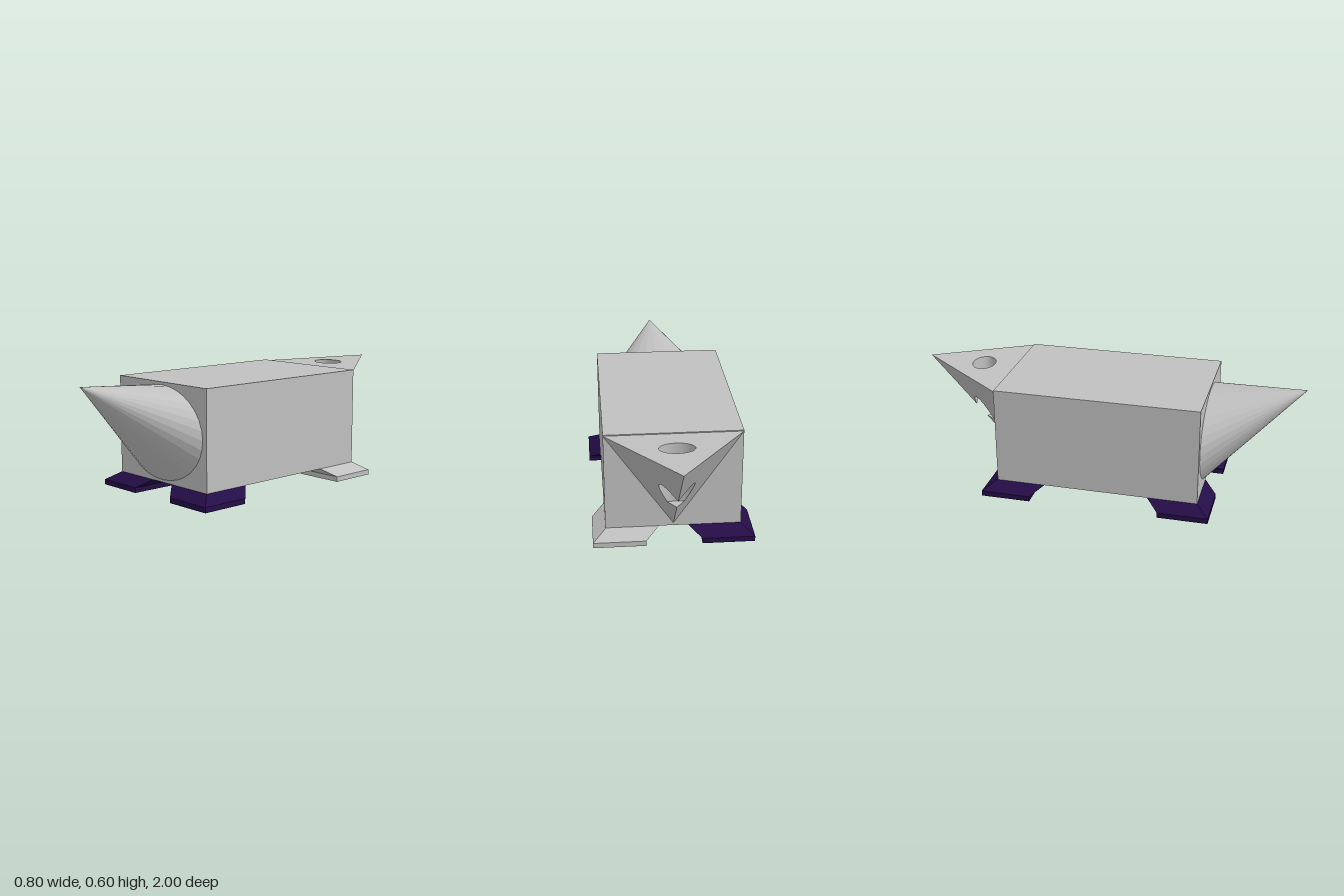
import * as THREE from 'three';

const grey = new THREE.MeshStandardMaterial({ color: 0xc0c0c0 });
const purple = new THREE.MeshStandardMaterial({ color: 0x240d47 });
grey.name = 'hull grey';
purple.name = 'deep purple';

const HALF = 0.335, BACK = -0.53, FRONT = 0.52, TIP = -1;
const HOLE = { z: -0.7, rx: 0.085, rz: 0.058, floor: 0.27 };
const SEG = 48;

// Heights of the tail's top plane and of its two keel planes
const topY = (x, z) => 0.57 + 0.053 * (BACK - z);
const keelY = (x, z) => 0.083 + 1.09 * (BACK - z) + 1.454 * Math.abs(x);
const rim = (a) => [HOLE.rx * Math.sin(a), HOLE.z + HOLE.rz * Math.cos(a)];

function add(group, name, geometry, material) {
  const flat = geometry.index ? geometry.toNonIndexed() : geometry;
  flat.computeVertexNormals();
  const mesh = new THREE.Mesh(flat, material);
  mesh.name = name;
  group.add(mesh);
}

// Flat outline in (x, z), lifted onto a plane given by a height rule
function panel(points, height, facesDown = false, hole = null) {
  const toVec = ([x, z]) => new THREE.Vector2(x, -z);
  const shape = new THREE.Shape(points.map(toVec));
  if (hole) shape.holes.push(new THREE.Path(hole.map(toVec)));
  const g = new THREE.ShapeGeometry(shape);
  const p = g.attributes.position;
  for (let i = 0; i < p.count; i++) {
    const x = p.getX(i), z = -p.getY(i);
    p.setXYZ(i, x, height(x, z), z);
  }
  if (facesDown) g.setIndex(Array.from(g.index.array).reverse());
  return g;
}

// Pointed nose: an oblique elliptical cone rising to the front
function noseGeometry() {
  const g = new THREE.ConeGeometry(1, 1, 32, 1, true).rotateX(Math.PI / 2);
  const p = g.attributes.position;
  for (let i = 0; i < p.count; i++) {
    const t = p.getZ(i) + 0.5;
    p.setXYZ(i, p.getX(i) * 0.307 + 0.005 * t, 0.322 + p.getY(i) * 0.239 + 0.273 * t, FRONT + 0.48 * t);
  }
  return g;
}

// Foot: square pad whose upper part leans in under the body
function footGeometry(sx, sz) {
  const g = new THREE.BoxGeometry(0.26, 2, 0.257, 1, 2, 1);
  const p = g.attributes.position;
  const heights = [0, 0.027, 0.07];
  for (let i = 0; i < p.count; i++) {
    const row = Math.round(p.getY(i)) + 1;
    const lean = row === 2 ? 0.065 : 0;
    const cz = sz > 0 ? 0.457 : -0.47;
    p.setXYZ(i, p.getX(i) + sx * (0.268 - lean), heights[row], p.getZ(i) + cz - sz * lean);
  }
  return g;
}

// Inner wall of the tail's hole, ending at its floor or at the keel planes
function holeWallGeometry() {
  const pos = [];
  const ring = (a) => {
    const [x, z] = rim(a);
    return [[x, topY(x, z), z], [x, Math.max(HOLE.floor, keelY(x, z)), z]];
  };
  for (let i = 0; i < SEG; i++) {
    const [t0, b0] = ring((i / SEG) * Math.PI * 2);
    const [t1, b1] = ring(((i + 1) / SEG) * Math.PI * 2);
    pos.push(...t0, ...t1, ...b0, ...t1, ...b1, ...b0);
  }
  const g = new THREE.BufferGeometry();
  g.setAttribute('position', new THREE.Float32BufferAttribute(pos, 3));
  return g;
}

export function createModel() {
  const model = new THREE.Group();
  model.name = 'model';

  // Main body
  const body = new THREE.BoxGeometry(2 * HALF, 0.505, FRONT - BACK);
  body.translate(0, 0.3225, (FRONT + BACK) / 2);
  add(model, 'body', body, grey);

  add(model, 'nose', noseGeometry(), grey);

  // Tail wedge with a vertical hole cut down to a level floor
  const tail = new THREE.Group();
  tail.name = 'tail';
  model.add(tail);
  const fullRim = Array.from({ length: SEG }, (_, i) => rim((i / SEG) * Math.PI * 2));
  add(tail, 'tailTop', panel([[-HALF, BACK], [HALF, BACK], [0, TIP]], topY, false, fullRim), grey);

  const start = 0.49; // rim angle where the floor meets the keel plane
  const floorTip = [0, -0.702];
  const notch = Array.from({ length: 25 }, (_, i) => rim(start + (Math.PI - start) * (i / 24)));
  for (const s of [1, -1]) {
    const outline = [[0, BACK], floorTip, ...notch, [0, TIP], [HALF, BACK]].map(([x, z]) => [s * x, z]);
    add(tail, s > 0 ? 'leftKeelPanel' : 'rightKeelPanel', panel(outline, keelY, true), grey);
  }
  add(tail, 'holeWall', holeWallGeometry(), grey);
  const floorArc = Array.from({ length: 9 }, (_, i) => rim(start * (1 - i / 4)));
  add(tail, 'holeFloor', panel([floorTip, ...floorArc], () => HOLE.floor), grey);

  // Four feet; the rear left one is grey
  for (const sx of [1, -1]) {
    for (const sz of [1, -1]) {
      const name = (sz > 0 ? 'front' : 'rear') + (sx > 0 ? 'Left' : 'Right') + 'Foot';
      add(model, name, footGeometry(sx, sz), sx > 0 && sz < 0 ? grey : purple);
    }
  }
  return model;
}
